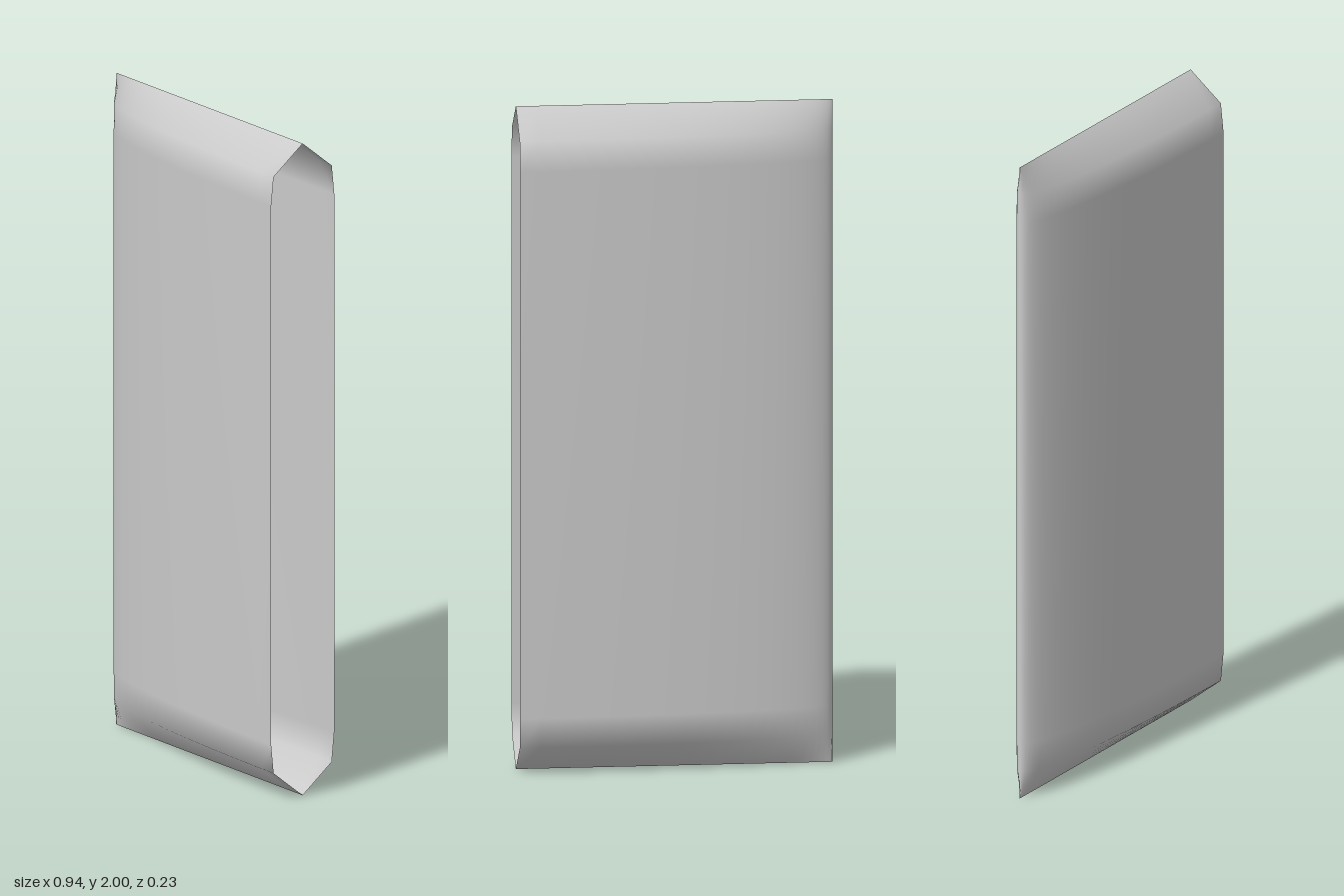
import * as THREE from 'three';

// Upright half-elliptical fairing: rounded nose at -x, open at +x,
// pinched to a ridge along the top and bottom.
const LENGTH = 0.94, HALF_THICK = 0.115, SEGMENTS = 48;
// [height, share of full thickness]
const ROWS = [[0, 0], [0.085, 0.92], [0.175, 1], [1.825, 1], [1.915, 0.92], [2, 0]];

function fairingShell() {
  const positions = [], index = [];
  for (const [y, scale] of ROWS) {
    for (let i = 0; i <= SEGMENTS; i++) {
      const a = -Math.PI / 2 + (Math.PI * i) / SEGMENTS;
      positions.push(LENGTH / 2 - LENGTH * Math.cos(a), y, HALF_THICK * scale * Math.sin(a));
    }
  }
  const n = SEGMENTS + 1;
  for (let r = 0; r < ROWS.length - 1; r++) {
    for (let i = 0; i < SEGMENTS; i++) {
      const a = r * n + i, b = a + 1, c = a + n, d = c + 1;
      // the ridge rows have no thickness, so split quads towards the body
      index.push(a, b, d, a, d, c);
    }
  }
  const geometry = new THREE.BufferGeometry();
  geometry.setAttribute('position', new THREE.Float32BufferAttribute(positions, 3));
  geometry.setIndex(index);
  geometry.computeVertexNormals();
  return geometry;
}

export function createModel() {
  const group = new THREE.Group();
  group.name = 'fairing';
  const material = new THREE.MeshStandardMaterial({ color: 0xcccccc, side: THREE.DoubleSide });
  const shell = new THREE.Mesh(fairingShell(), material);
  shell.name = 'shell';
  group.add(shell);
  return group;
}
